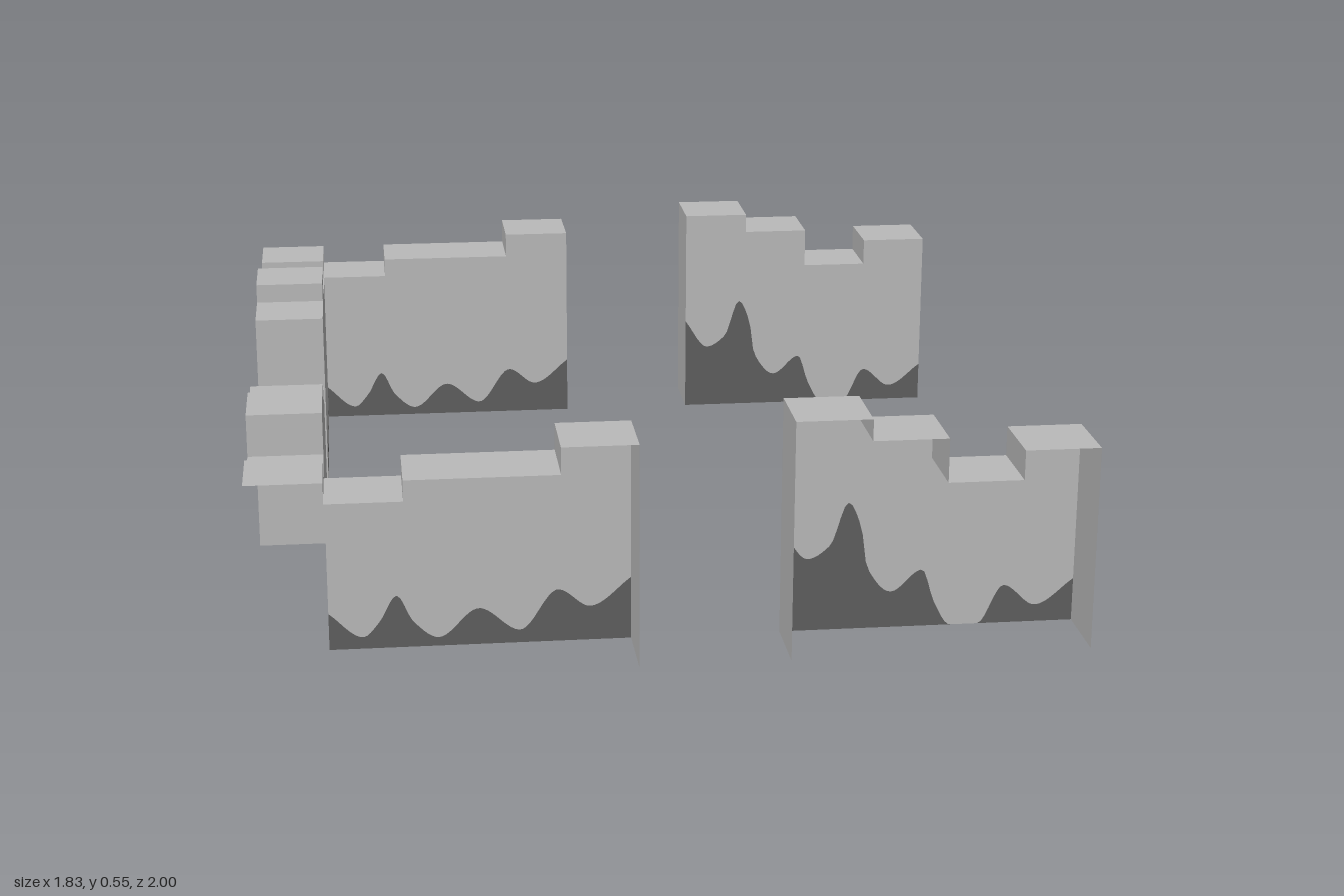
import * as THREE from 'three';

const T = 1 / 6;      // wall thickness and grid step
const IN_X = 0.75;    // inner plane of the side walls
const IN_Z = 5 / 6;   // inner plane of the front and back walls

const stone = new THREE.MeshStandardMaterial({ color: 0xbababa, side: THREE.DoubleSide });
stone.name = 'stoneGrey';
const stain = new THREE.MeshStandardMaterial({ color: 0x5f5f5f, side: THREE.DoubleSide });
stain.name = 'stainGrey';

// Smooth curve through [u, y] points that never overshoots them
function heightCurve(pts) {
  const slope = (i) => (pts[i + 1][1] - pts[i][1]) / (pts[i + 1][0] - pts[i][0]);
  const tangent = (i) => {
    if (i === 0) return slope(0);
    if (i === pts.length - 1) return slope(i - 1);
    const a = slope(i - 1), b = slope(i);
    return a * b <= 0 ? 0 : (2 * a * b) / (a + b);
  };
  return (u) => {
    let i = 0;
    while (i < pts.length - 2 && u > pts[i + 1][0]) i++;
    const h = pts[i + 1][0] - pts[i][0];
    const t = THREE.MathUtils.clamp((u - pts[i][0]) / h, 0, 1), s = 1 - t;
    const y = (1 + 2 * t) * s * s * pts[i][1] + t * s * s * h * tangent(i)
      + t * t * (3 - 2 * t) * pts[i + 1][1] - t * t * s * h * tangent(i + 1);
    return Math.max(0, y);
  };
}

// Collects quads; place(u, y, d) maps wall space to the model, d being depth behind the face
function quadMesh(name, material, place, flip, quads) {
  const pos = [];
  for (const q of quads) {
    const c = q.map((p) => place(...p));
    const order = flip ? [0, 2, 1, 0, 3, 2] : [0, 1, 2, 0, 2, 3];
    for (const i of order) pos.push(...c[i]);
  }
  const geo = new THREE.BufferGeometry();
  geo.setAttribute('position', new THREE.Float32BufferAttribute(pos, 3));
  geo.computeVertexNormals();
  const mesh = new THREE.Mesh(geo, material);
  mesh.name = name;
  return mesh;
}

// One wall: cells are [u0, u1, height, open]; open cells carry only the top slab.
// startBase / endBase give the lowest point of the end plates, or null for none.
function buildWall({ name, place, flip, cells, points, startBase = 0, endBase = 0 }) {
  const wall = new THREE.Group();
  wall.name = name;
  const curve = heightCurve(points);
  const face = [], paint = [], tops = [], ends = [];
  const crossPlate = (u, y0, y1, towardsStart) => {
    const q = [[u, y0, 0], [u, y1, 0], [u, y1, T], [u, y0, T]];
    ends.push(towardsStart ? q : q.reverse());
  };
  cells.forEach(([u0, u1, h, open], i) => {
    tops.push([[u0, h, 0], [u1, h, 0], [u1, h, T], [u0, h, T]]);
    // step between neighbouring blocks
    if (i > 0) {
      const before = cells[i - 1][2];
      crossPlate(u0, Math.min(before, h), Math.max(before, h), h > before);
    }
    if (open) return;
    // inner face, divided along the wavy stain edge
    const n = Math.round((u1 - u0) * 120);
    for (let k = 0; k < n; k++) {
      const a = u0 + ((u1 - u0) * k) / n, b = u0 + ((u1 - u0) * (k + 1)) / n;
      const ya = Math.min(curve(a), h), yb = Math.min(curve(b), h);
      face.push([[a, ya, 0], [b, yb, 0], [b, h, 0], [a, h, 0]]);
      if (ya + yb > 1e-5) paint.push([[a, 0, 0], [b, 0, 0], [b, yb, 0], [a, ya, 0]]);
    }
  });
  const first = cells[0], last = cells[cells.length - 1];
  if (startBase !== null) crossPlate(first[0], startBase, first[2], true);
  if (endBase !== null) crossPlate(last[1], endBase, last[2], false);
  wall.add(
    quadMesh('wallFace', stone, place, flip, face),
    quadMesh('stainedBase', stain, place, flip, paint),
    quadMesh('wallTop', stone, place, flip, tops),
    quadMesh('endPlates', stone, place, flip, ends),
  );
  return wall;
}

// Block heights and stain edges
const CORNER = 0.447;
const longCells = [
  [-IN_X - T, -IN_X, CORNER, true], [-IN_X, -3.5 * T, 0.4],
  [-3.5 * T, -1.5 * T, 0.447], [-1.5 * T, -0.5 * T, 0.508],
];
const longStain = [
  [-0.75, 0.085], [-0.675, 0.027], [-0.64, 0.06], [-0.6, 0.122], [-0.565, 0.06], [-0.51, 0.02],
  [-0.42, 0.085], [-0.33, 0.03], [-0.245, 0.122], [-0.175, 0.08], [-0.083, 0.145],
];
const shortCells = [
  [1.5 * T, 2.5 * T, 0.547], [2.5 * T, 3.5 * T, 0.498],
  [3.5 * T, 4.5 * T, 0.398], [4.5 * T, 5.5 * T, 0.465],
];
const shortStain = [
  [0.25, 0.245], [0.31, 0.17], [0.36, 0.2], [0.4, 0.3], [0.43, 0.24], [0.445, 0.145], [0.5, 0.085],
  [0.57, 0.135], [0.6, 0.055], [0.637, 0], [0.7, 0], [0.757, 0.09], [0.83, 0.04], [0.917, 0.1],
];
const sideFrontCells = [
  [T, 2 * T, 0.398], [2 * T, 3 * T, 0.457], [3 * T, 4 * T, 0.494], [4 * T, 5 * T, 0.398],
];
const sideFrontStain = [
  [0.167, 0.08], [0.22, 0.04], [0.265, 0.02], [0.31, 0.065], [0.345, 0.15], [0.385, 0.11],
  [0.43, 0.065], [0.46, 0.075], [0.51, 0.147], [0.55, 0.09], [0.595, 0.065], [0.63, 0.09],
  [0.67, 0.175], [0.7, 0.09], [0.735, 0.065], [0.765, 0.1], [0.8, 0.29], [0.833, 0.398],
];
const sideBackCells = [
  [-5 * T, -4 * T, 0.398], [-4 * T, -3 * T, 0.42], [-3 * T, -2 * T, 0.519], [-2 * T, -T, 0.473],
];
const sideBackStain = [
  [-0.833, 0.07], [-0.765, 0], [-0.715, 0], [-0.665, 0.04], [-0.635, 0], [-0.545, 0],
  [-0.49, 0.06], [-0.42, 0], [-0.4, 0.02], [-0.365, 0.065], [-0.335, 0.09], [-0.3, 0],
  [-0.215, 0], [-0.167, 0.06],
];

export function createModel() {
  const model = new THREE.Group();
  model.name = 'ruinedWalls';

  // Front and back walls mirror each other
  for (const s of [1, -1]) {
    const end = s > 0 ? 'front' : 'back';
    const place = (u, y, d) => [u, y, s * (IN_Z + d)];
    const flip = s > 0;
    model.add(
      buildWall({ name: end + 'CornerWall', place, flip, cells: longCells, points: longStain, startBase: null }),
      buildWall({ name: end + 'ShortWall', place, flip, cells: shortCells, points: shortStain }),
    );
  }

  // Side walls; the plates beside the corner slabs rise to the slab height
  const place = (u, y, d) => [-IN_X - d, y, u];
  model.add(
    buildWall({ name: 'sideWallFront', place, flip: true, cells: sideFrontCells, points: sideFrontStain, endBase: null }),
    buildWall({ name: 'sideWallBack', place, flip: true, cells: sideBackCells, points: sideBackStain }),
  );
  const risers = [
    [[5 * T, 0.398, 0], [5 * T, CORNER, 0], [5 * T, CORNER, T], [5 * T, 0.398, T]],
    [[-5 * T, 0.398, T], [-5 * T, CORNER, T], [-5 * T, CORNER, 0], [-5 * T, 0.398, 0]],
  ];
  model.add(quadMesh('cornerRisers', stone, place, true, risers));
  return model;
}
